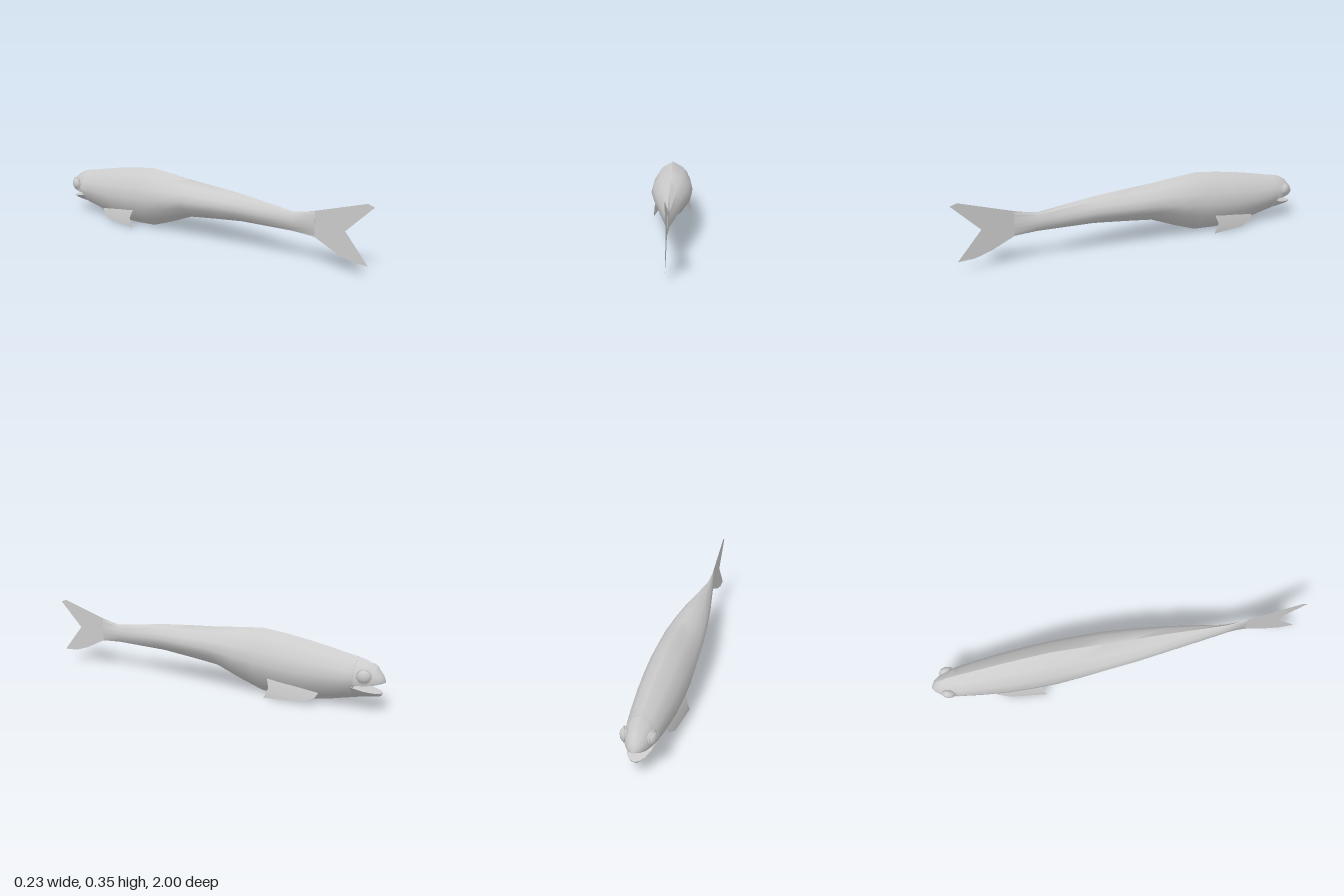
import * as THREE from 'three';
import { toCreasedNormals } from 'three/addons/utils/BufferGeometryUtils.js';

const material = new THREE.MeshStandardMaterial({ color: 0xcccccc });
const thin = new THREE.MeshStandardMaterial({ color: 0xcccccc, side: THREE.DoubleSide });

// Half cross-sections, top to bottom: [share of height, share of half width]
const BODY = [[0, 0], [0.106, 0.53], [0.3, 0.88], [0.485, 1], [0.68, 0.87], [0.885, 0.45], [1, 0]];
const UPPER = [[0, 0], [0.165, 0.53], [0.48, 0.88], [0.77, 1], [1, 0.9], [1, 0]];
const LOWER = [[0, 0], [0, 0.95], [0.1, 1], [0.67, 0.55], [1, 0]];

// Skins a mirrored section over stations [z, top, bottom, halfWidth], tail to head
function loft(half, stations) {
  const mirrored = half.slice(1, -1).reverse().map(([t, w]) => [t, -w]);
  const ring = [...half, ...mirrored];
  const n = ring.length, last = (stations.length - 1) * n;
  const pos = [], idx = [];
  for (const [z, top, bottom, width] of stations)
    for (const [t, w] of ring) pos.push(w * width, top + (bottom - top) * t, z);
  for (let i = 0; i < stations.length - 1; i++)
    for (let j = 0; j < n; j++) {
      const a = i * n + j, b = i * n + (j + 1) % n;
      idx.push(a, b, a + n, b, b + n, a + n);
    }
  for (let j = 1; j < n - 1; j++) {
    idx.push(0, j + 1, j);
    idx.push(last, last + j, last + j + 1);
  }
  const g = new THREE.BufferGeometry();
  g.setAttribute('position', new THREE.Float32BufferAttribute(pos, 3));
  g.setIndex(idx);
  return toCreasedNormals(g, 0.75);
}

// Thin fin: outline of [z, y], with x given per point
function fin(outline, xs) {
  const pts = outline.map(([z, y]) => new THREE.Vector2(z, y));
  const faces = THREE.ShapeUtils.triangulateShape(pts, []);
  const g = new THREE.BufferGeometry();
  const pos = outline.flatMap(([z, y], i) => [xs[i], y, z]);
  g.setAttribute('position', new THREE.Float32BufferAttribute(pos, 3));
  g.setIndex(faces.flat());
  g.computeVertexNormals();
  return g;
}

export function createModel() {
  const fish = new THREE.Group();
  fish.name = 'fish';
  const add = (name, geometry, mat = material) => {
    const mesh = new THREE.Mesh(geometry, mat);
    mesh.name = name;
    fish.add(mesh);
    return mesh;
  };

  add('body', loft(BODY, [
    [0.69, 0.272, 0.146, 0.002], [0.57, 0.25, 0.152, 0.02], [0.26, 0.288, 0.144, 0.07],
    [0.08, 0.302, 0.126, 0.093], [-0.08, 0.312, 0.108, 0.107], [-0.22, 0.326, 0.055, 0.112],
    [-0.35, 0.337, 0.012, 0.114], [-0.48, 0.323, 0.005, 0.112], [-0.61, 0.304, 0.008, 0.105],
    [-0.74, 0.28, 0.03, 0.093], [-0.8, 0.267, 0.044, 0.086], [-0.865, 0.256, 0.057, 0.077],
  ]));

  // Head split by the open mouth
  add('upperHead', loft(UPPER, [
    [-0.85, 0.258, 0.13, 0.078], [-0.905, 0.246, 0.13, 0.068], [-0.955, 0.22, 0.135, 0.05],
    [-0.985, 0.185, 0.143, 0.029], [-1, 0.154, 0.148, 0.006],
  ]));
  add('lowerJaw', loft(LOWER, [
    [-0.85, 0.125, 0.055, 0.069], [-0.91, 0.108, 0.067, 0.057], [-0.95, 0.1, 0.072, 0.042],
    [-0.975, 0.097, 0.077, 0.026], [-0.985, 0.094, 0.085, 0.008],
  ]));

  // Forked tail
  const tail = [[0.58, 0.248], [0.69, 0.275], [0.965, 0.355], [1, 0.343], [0.855, 0.205],
    [0.98, 0.06], [0.895, 0.064], [0.81, 0.09], [0.69, 0.145], [0.58, 0.155]];
  add('tailFin', fin(tail, tail.map(() => 0)), thin);

  // Paired side fins and eyes
  const side = [[-0.425, 0.105], [-0.69, 0.065], [-0.675, 0.04], [-0.61, 0.012],
    [-0.415, 0.008], [-0.44, 0.06]];
  const sideX = [0.095, 0.065, 0.073, 0.088, 0.111, 0.107];
  for (const [label, s] of [['left', 1], ['right', -1]]) {
    add(label + 'SideFin', fin(side, sideX.map(x => x * s)), thin);

    const eye = add(label + 'Eye', new THREE.SphereGeometry(0.033, 16, 12));
    eye.scale.x = 0.65;
    eye.position.set(s * 0.062, 0.178, -0.915);
    eye.rotation.y = s * 0.25;

    const rim = add(label + 'EyeRim', new THREE.TorusGeometry(0.033, 0.005, 6, 16));
    rim.position.set(s * 0.064, 0.178, -0.915);
    rim.rotation.y = Math.PI / 2 + s * 0.25;
  }
  return fish;
}
